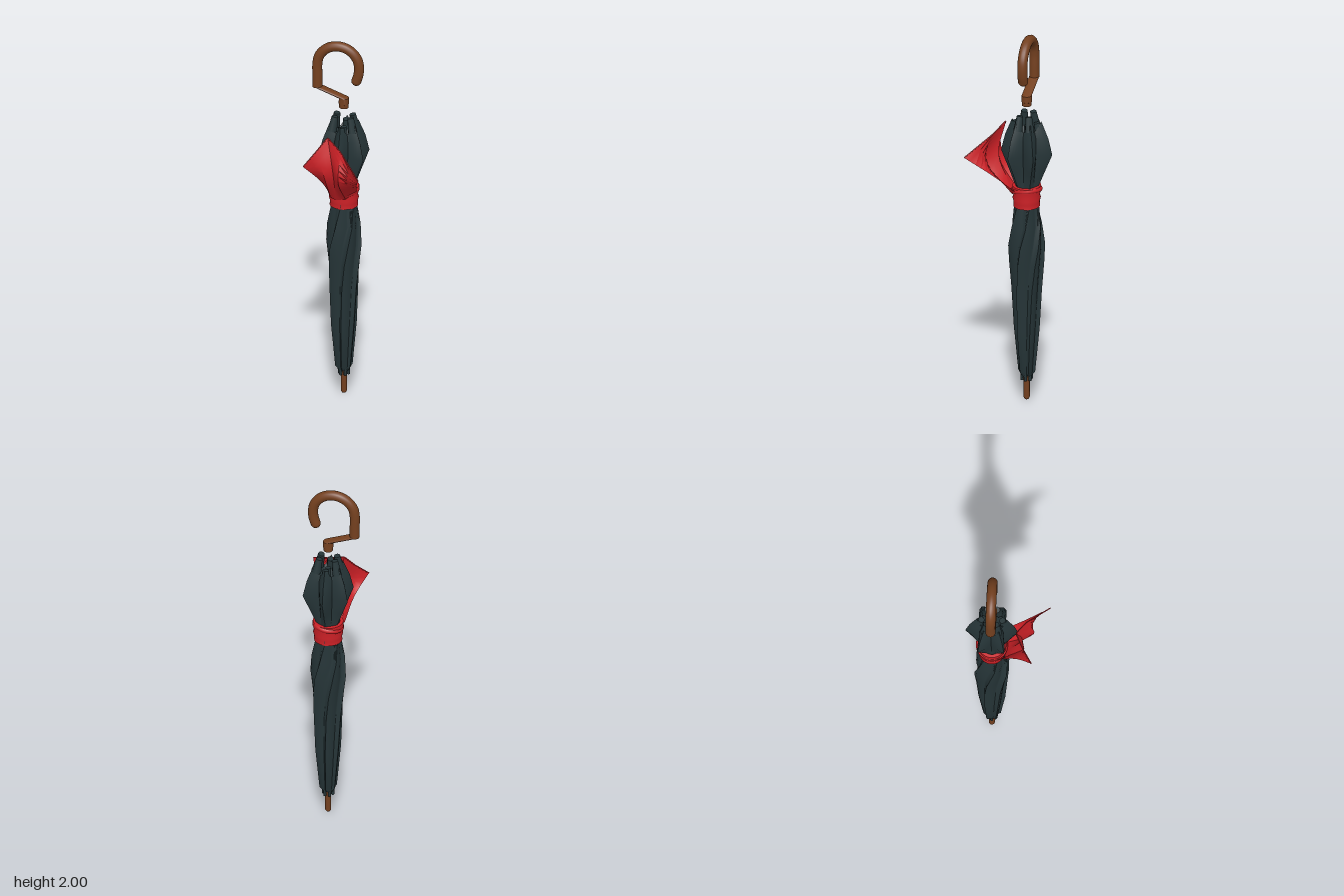
import * as THREE from 'three';
import { toCreasedNormals } from 'three/addons/utils/BufferGeometryUtils.js';

const AX = 0.01, AZ = -0.081; // umbrella axis

// Surface from rows of points
function gridGeometry(rows, crease) {
  const n = rows[0].length, pos = [], idx = [];
  rows.forEach(r => r.forEach(p => pos.push(p.x, p.y, p.z)));
  for (let i = 0; i < rows.length - 1; i++)
    for (let j = 0; j < n - 1; j++) {
      const a = i * n + j, b = a + n;
      idx.push(a, b, a + 1, a + 1, b, b + 1);
    }
  const g = new THREE.BufferGeometry();
  g.setAttribute('position', new THREE.Float32BufferAttribute(pos, 3));
  g.setIndex(idx);
  g.computeVertexNormals();
  return toCreasedNormals(g, crease);
}

export function createModel() {
  const model = new THREE.Group();
  model.name = 'foldedUmbrella';
  const mat = (name, color) => {
    const m = new THREE.MeshStandardMaterial({ color, side: THREE.DoubleSide });
    m.name = name;
    return m;
  };
  const wood = mat('brown wood', 0x74401f);
  const dark = mat('dark cloth', 0x263538);
  const red = mat('red cloth', 0xcb2026);
  const add = (name, geo, material, x = 0, y = 0, z = 0) => {
    const m = new THREE.Mesh(geo, material);
    m.name = name;
    m.position.set(x, y, z);
    model.add(m);
    return m;
  };

  // Handle crook: straight side, half circle and a curled end
  const path = [[-0.13, 1.735], [-0.13, 1.8]];
  for (let i = 0; i <= 8; i++) {
    const a = Math.PI * (1 - i / 8);
    path.push([-0.02 + 0.11 * Math.cos(a), 1.864 + 0.11 * Math.sin(a)]);
  }
  path.push([0.086, 1.82], [0.076, 1.788]);
  const curve = new THREE.CatmullRomCurve3(path.map(([x, y]) => new THREE.Vector3(x, y, AZ)));
  add('handleCrook', new THREE.TubeGeometry(curve, 64, 0.026, 16), wood);
  add('handleEnd', new THREE.SphereGeometry(0.026, 16, 12), wood, 0.076, 1.788, AZ);

  // Handle neck: level rings shifted sideways from the collar to the crook
  const neck = [[AX, 1.63, 0.001], [AX, 1.63, 0.024], [AX, 1.65, 0.024], [AX, 1.652, 0.027],
    [AX, 1.685, 0.026], [-0.13, 1.738, 0.026]];
  add('handleNeck', gridGeometry(neck.map(([x, y, r]) => Array.from({ length: 21 }, (_, j) => {
    const a = j / 20 * Math.PI * 2;
    return new THREE.Vector3(x + r * Math.cos(a), y, AZ - r * Math.sin(a));
  })), 0.6), wood);

  // Folded canopy: six-pleat rings [y, ridge radius, valley radius, twist, rim lift]
  const levels = [
    [0.12, 0.03, 0.022, 1.1, 0.02], [0.16, 0.046, 0.034, 1.1, 0], [0.4, 0.069, 0.05, 1.05, 0],
    [0.62, 0.08, 0.06, 0.95, 0], [0.76, 0.09, 0.068, 0.8, 0], [0.86, 0.096, 0.073, 0.62, 0],
    [0.97, 0.086, 0.066, 0.32, 0], [1.08, 0.068, 0.057, 0.05, 0], [1.19, 0.064, 0.052, 0, 0],
    [1.28, 0.1, 0.06, 0, 0], [1.37, 0.137, 0.07, 0, 0], [1.46, 0.115, 0.07, 0, 0],
    [1.5, 0.078, 0.058, 0, 0.05], [1.48, 0.05, 0.046, 0, 0.02], [1.4, 0.03, 0.04, 0, 0],
    [1.38, 0.002, 0.002, 0, 0]];
  const SEG = 72;
  add('canopy', gridGeometry(levels.map(([y, ridge, valley, twist, lift]) =>
    Array.from({ length: SEG + 1 }, (_, j) => {
      const u = (j % 12) / 12;
      const f = Math.pow(Math.abs(2 * u - 1), 1.3); // 1 on a ridge, 0 in a valley
      const r = valley + (ridge - valley) * f;
      const a = j / SEG * Math.PI * 2 + Math.PI / 6 + twist - Math.min(twist, 0.3) * (1 - f);
      return new THREE.Vector3(AX + r * Math.cos(a), y + lift * f, AZ + r * Math.sin(a));
    })), 0.6), dark);

  // Rib tips around the open rim
  for (let k = 0; k < 6; k++) {
    const a = Math.PI / 6 + k * Math.PI / 3;
    const low = k % 3 === 1; // front and back tips sit lower
    const r = low ? 0.062 : 0.055, y = low ? 1.5 : 1.545;
    const tip = add('ribTip', new THREE.CylinderGeometry(0.017, 0.025, 0.08, 8), dark,
      AX + r * Math.cos(a), y, AZ + r * Math.sin(a));
    tip.rotation.set(-Math.sin(a) * 0.2, 0, Math.cos(a) * 0.2);
  }
  add('innerShaft', new THREE.CylinderGeometry(0.014, 0.014, 0.14, 12), dark, AX, 1.45, AZ);

  // Ferrule and its gathered cloth collar
  const ferrule = [[0, 0], [0.01, 0.003], [0.016, 0.014], [0.016, 0.16]]
    .map(p => new THREE.Vector2(...p));
  add('ferrule', new THREE.LatheGeometry(ferrule, 16), wood, AX, 0, AZ);
  for (let k = 0; k < 6; k++) {
    const a = k * Math.PI / 3;
    add('ferruleNub', new THREE.CylinderGeometry(0.009, 0.008, 0.05, 8), dark,
      AX + 0.024 * Math.cos(a), 0.135, AZ + 0.024 * Math.sin(a));
  }

  // Red tie wrapped around the canopy
  const band = [[0.058, 1.075], [0.072, 1.077], [0.07, 1.1], [0.076, 1.122], [0.071, 1.14],
    [0.079, 1.165], [0.077, 1.19], [0.06, 1.192]].map(p => new THREE.Vector2(...p));
  add('tieBand', toCreasedNormals(new THREE.LatheGeometry(band, 36), 0.7), red, AX, 0, AZ)
    .scale.set(1.02, 1, 0.95);
  const wrap = add('tieFold', new THREE.TorusGeometry(0.069, 0.014, 8, 36), red, AX, 1.165, AZ);
  wrap.rotation.set(Math.PI / 2 + 0.12, 0.16, 0);

  // Red loose flap: pleat columns from the tie up to the free edge
  const columns = [
    [[-0.07, 1.17, -0.05], [-0.098, 1.27, 0.045], [-0.156, 1.37, 0.13]],
    [[-0.045, 1.14, -0.015], [-0.055, 1.3, 0.085], [-0.095, 1.445, 0.078]],
    [[-0.015, 1.13, -0.008], [-0.012, 1.33, 0.075], [-0.046, 1.51, 0.045]],
    [[0.035, 1.14, -0.01], [0.03, 1.31, 0.135], [0.035, 1.458, 0.095]],
    [[0.085, 1.17, -0.05], [0.112, 1.26, 0.07], [0.155, 1.362, 0.212]],
  ].map(c => new THREE.CatmullRomCurve3(c.map(p => new THREE.Vector3(...p))).getPoints(10));
  const rows = columns[0].map((_, i) => {
    const row = [];
    columns.forEach((c, k) => {
      if (k) row.push(columns[k - 1][i].clone().lerp(c[i], 0.5));
      row.push(c[i]);
    });
    return row;
  });
  add('tieFlap', gridGeometry(rows, 0.5), red);

  // Hem along the flap's free edge
  const hem = new THREE.CurvePath();
  for (let k = 1; k < columns.length; k++)
    hem.add(new THREE.LineCurve3(columns[k - 1][10], columns[k][10]));
  add('flapHem', new THREE.TubeGeometry(hem, 32, 0.003, 6), red);

  return model;
}
